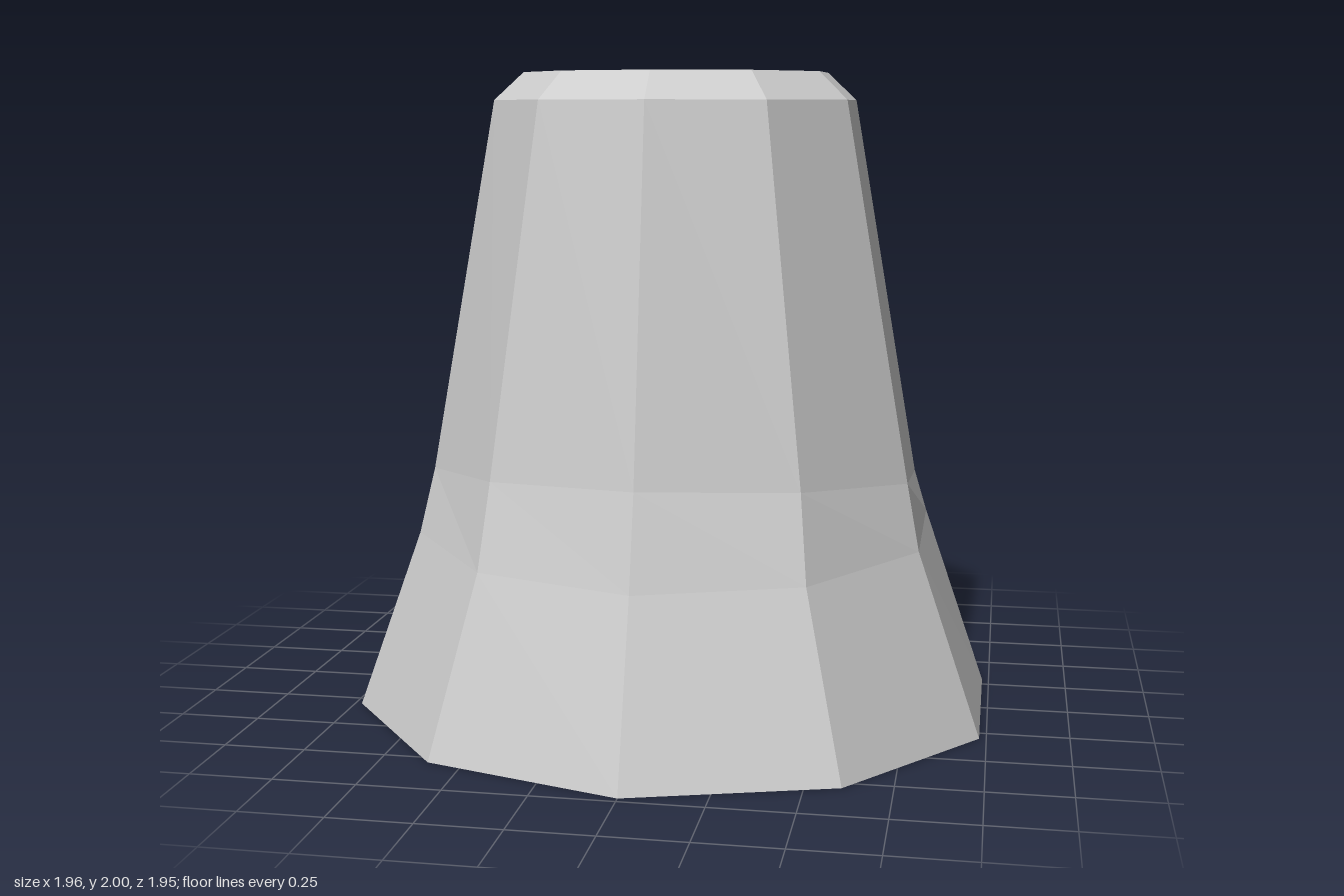
import * as THREE from 'three';

const SIDES = 10;

// A ten-sided elliptical ring; tilt raises it toward +z.
function ring(y, rx, rz, cz = 0, tilt = 0) {
  const points = [];
  for (let j = 0; j <= SIDES; j++) {
    const a = (j / SIDES) * Math.PI * 2;
    const z = rz * Math.cos(a);
    points.push([rx * Math.sin(a), y + tilt * z, cz + z]);
  }
  return points;
}

// Joins successive rings with flat-shaded faces.
function loft(rings) {
  const position = [];
  for (let i = 0; i < rings.length - 1; i++) {
    for (let j = 0; j < SIDES; j++) {
      const a = rings[i][j], b = rings[i + 1][j];
      const c = rings[i + 1][j + 1], d = rings[i][j + 1];
      position.push(...a, ...b, ...c, ...a, ...c, ...d);
    }
  }
  const geometry = new THREE.BufferGeometry();
  geometry.setAttribute('position', new THREE.Float32BufferAttribute(position, 3));
  geometry.computeVertexNormals();
  return geometry;
}

export function createModel() {
  const group = new THREE.Group();
  group.name = 'flaredShell';
  const material = new THREE.MeshStandardMaterial({ color: 0xcccccc, flatShading: true });
  const thin = material.clone();
  thin.side = THREE.DoubleSide;

  // Hollow flared shell with a recessed hole in its top
  const shell = new THREE.Mesh(loft([
    ring(1.9, 0.1, 0.097, 0.014),
    ring(1.9, 0.215, 0.206, 0.015),
    ring(2, 0.215, 0.206, 0.015),
    ring(2, 0.48, 0.456, 0.015),
    ring(1.915, 0.572, 0.544, 0.015),
    ring(0.74, 0.783, 0.745, -0.01, 0.1),
    ring(0.575, 0.825, 0.79, 0.015, -0.055),
    ring(0, 1.029, 0.977, 0),
    ring(0, 0.966, 0.918, 0),
    ring(0.575, 0.765, 0.73, 0.015, -0.055),
    ring(0.74, 0.723, 0.685, -0.01, 0.1),
    ring(1.85, 0.52, 0.495, 0.015),
    ring(1.85, 0.1, 0.097, 0.014),
  ]), material);
  shell.name = 'shell';

  // Slanted tube leading from the top hole to the front inner wall
  const tube = new THREE.Mesh(loft([
    ring(1.9, 0.1, 0.097, 0.014),
    ring(1.85, 0.1, 0.097, 0.014),
    ring(0.76, 0.1, 0.097, 0.58, 0.3),
  ]), thin);
  tube.name = 'innerTube';

  group.add(shell, tube);
  return group;
}
